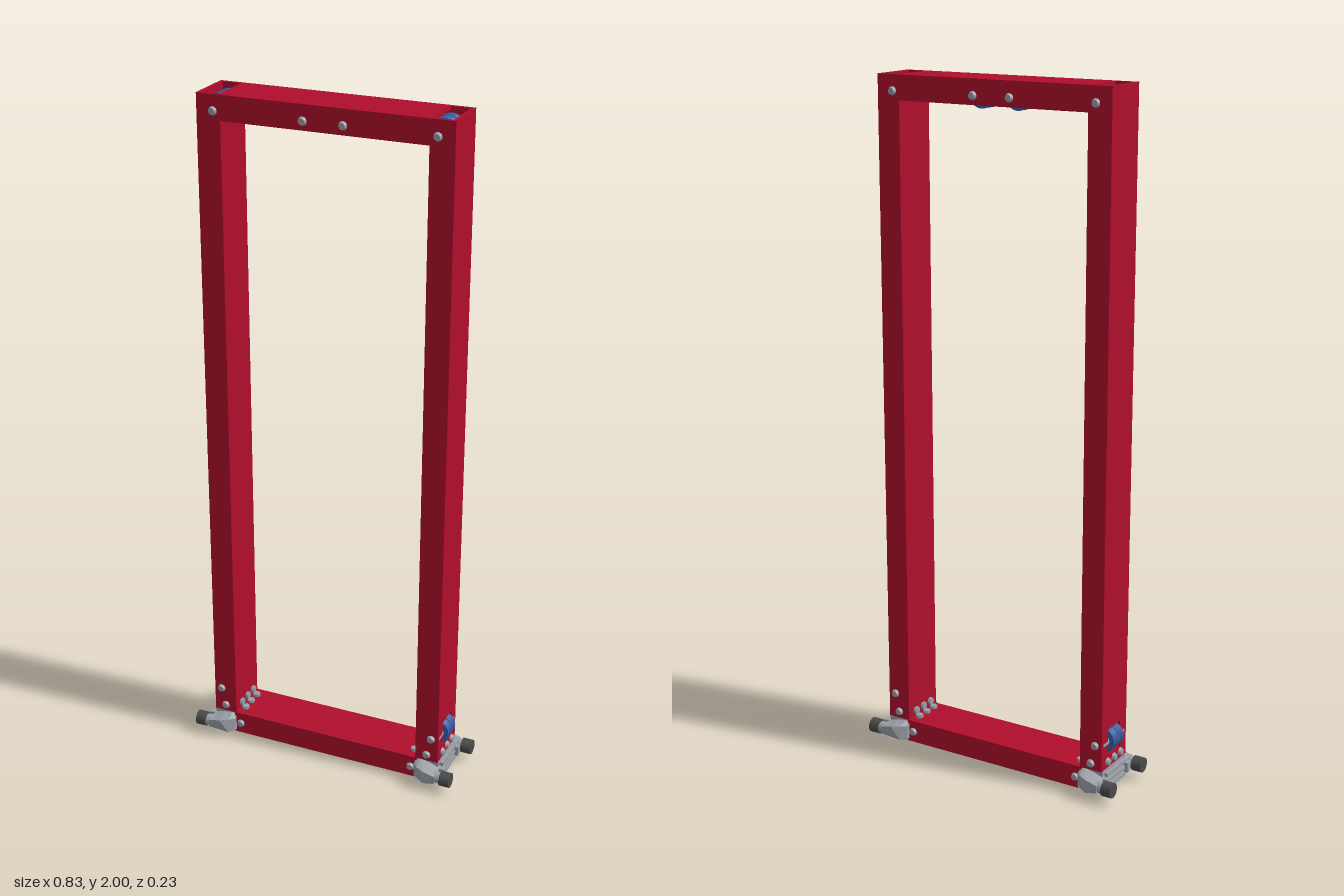
import * as THREE from 'three';

const mat = (name, color, side = THREE.FrontSide) => {
  const m = new THREE.MeshStandardMaterial({ color, side });
  m.name = name;
  return m;
};

export function createModel() {
  const red = mat('red paint', 0xb00e2c);
  const steel = mat('light steel', 0x9a9fa6);
  const blue = mat('blue pulley', 0x3a5fa8);
  const rubber = mat('dark rubber', 0x4a4a4a);
  const model = new THREE.Group();
  const D = 0.073, W = 0.01; // half depth of the beams, wall thickness

  const add = (parent, name, geo, material, x = 0, y = 0, z = 0) => {
    const m = new THREE.Mesh(geo, material);
    m.name = name;
    m.position.set(x, y, z);
    parent.add(m);
    return m;
  };
  // box given by its limits
  const box = (parent, name, material, x0, x1, y0, y1, z0, z1) =>
    add(parent, name, new THREE.BoxGeometry(x1 - x0, y1 - y0, z1 - z0), material,
      (x0 + x1) / 2, (y0 + y1) / 2, (z0 + z1) / 2);
  // cylinder whose axis runs along x, y or z
  const rod = (parent, name, material, r, len, axis, x, y, z, sides = 20, r2 = r) => {
    const g = new THREE.CylinderGeometry(r2, r, len, sides);
    if (axis === 'x') g.rotateZ(-Math.PI / 2);
    if (axis === 'z') g.rotateX(Math.PI / 2);
    return add(parent, name, g, material, x, y, z);
  };
  // flat wall along u with rectangular slots, thickness W
  const slottedWall = (u0, u1, slots) => {
    const s = new THREE.Shape([[u0, -D], [u1, -D], [u1, D], [u0, D]].map(p => new THREE.Vector2(...p)));
    for (const [a, b, h] of slots)
      s.holes.push(new THREE.Path([[a, -h], [a, h], [b, h], [b, -h]].map(p => new THREE.Vector2(...p))));
    return new THREE.ExtrudeGeometry(s, { depth: W, bevelEnabled: false });
  };
  // bolt through the beam with a domed head on the front and back
  const bolts = (parent, x, y) => {
    for (const s of [-1, 1]) {
      const b = rod(parent, 'boltHead', steel, 0.013, 0.009, 'z', x, y, s * (D + 0.0035), 16, 0.009);
      if (s < 0) b.rotation.y = Math.PI;
    }
  };
  // double sheave with spacers on its axle
  const sheaveProfile = [[0.006, -0.029], [0.038, -0.029], [0.038, -0.022], [0.031, -0.015],
    [0.038, -0.007], [0.038, -0.002], [0.033, 0], [0.038, 0.002], [0.038, 0.007],
    [0.031, 0.015], [0.038, 0.022], [0.038, 0.029], [0.006, 0.029]].map(p => new THREE.Vector2(...p));
  const pulley = (parent, x, y) => {
    const g = new THREE.Group();
    g.name = 'pulley';
    g.position.set(x, y, 0);
    parent.add(g);
    const geo = new THREE.LatheGeometry(sheaveProfile, 32).toNonIndexed();
    geo.computeVertexNormals();
    geo.rotateX(Math.PI / 2);
    add(g, 'sheave', geo, blue);
    for (const s of [-1, 1]) rod(g, 'spacer', steel, 0.024, 0.034, 'z', 0, 0, s * 0.046, 8);
    bolts(g, 0, 0);
  };

  // top beam: hollow, with slots for the pulleys underneath
  const top = new THREE.Group();
  top.name = 'topBeam';
  model.add(top);
  box(top, 'topWall', red, -0.3, 0.3, 2 - W, 2, -D, D);
  const under = add(top, 'bottomWall',
    slottedWall(-0.3, 0.3, [[-0.1, -0.015, 0.034], [0.015, 0.1, 0.034]]), red, 0, 1.93 + W, 0);
  under.rotation.x = Math.PI / 2;
  for (const s of [-1, 1])
    box(top, 'sideWall', red, -0.3, 0.3, 1.93, 2, s * (D - W / 2) - W / 2, s * (D - W / 2) + W / 2);
  for (const x of [-0.057, 0.057]) pulley(top, x, 1.955);

  // bottom beam
  box(model, 'bottomBeam', red, -0.3, 0.3, 0.012, 0.08, -D, D);

  // arm reaching from the bracket to the roller, tapered in plan
  const armGeometry = () => {
    const outline = [[0.295, 0.018], [0.31, 0.014], [0.335, 0.018], [0.37, 0.028],
      [0.37, 0.062], [0.335, 0.074], [0.31, 0.079], [0.295, 0.075]];
    const s = new THREE.Shape(outline.map(p => new THREE.Vector2(...p)));
    const g = new THREE.ExtrudeGeometry(s, { depth: 1, bevelEnabled: false });
    const p = g.attributes.position;
    for (let i = 0; i < p.count; i++) {
      const x = p.getX(i), y = p.getY(i);
      const reach = x < 0.3 ? 0.085 : x < 0.32 ? 0.102 : 0.113;
      if (p.getZ(i) > 0.5) {
        p.setZ(i, reach);
        p.setY(i, 0.045 + (y - 0.045) * 0.7);
      } else p.setZ(i, 0.06);
    }
    g.computeVertexNormals();
    return g;
  };

  // one side, built at +x and turned half round for the other
  for (const turn of [0, Math.PI]) {
    const side = new THREE.Group();
    side.name = turn ? 'rightSide' : 'leftSide';
    side.rotation.y = turn;
    model.add(side);

    // post: hollow, open at the top, with a pulley slot on the outside
    const post = new THREE.Group();
    post.name = 'post';
    side.add(post);
    for (const s of [-1, 1])
      box(post, 'postFace', red, 0.295, 0.365, 0.08, 2, s * (D - W / 2) - W / 2, s * (D - W / 2) + W / 2);
    box(post, 'innerWall', red, 0.295, 0.295 + W, 0.08, 1.93, -D, D);
    const outer = add(post, 'outerWall', slottedWall(0.08, 2, [[0.117, 0.198, 0.036]]), red, 0.365 - W, 0, 0);
    // slot outline: u to y, v to z, thickness to x
    outer.geometry.applyMatrix4(new THREE.Matrix4().makeBasis(
      new THREE.Vector3(0, 1, 0), new THREE.Vector3(0, 0, 1), new THREE.Vector3(1, 0, 0)));
    pulley(post, 0.343, 0.157);
    pulley(post, 0.317, 1.955);
    bolts(post, 0.33, 0.1);
    bolts(side, 0.28, 0.045);

    // rows of bolts joining the post, bracket and beam
    for (const z of [-0.038, 0, 0.038]) {
      rod(side, 'outerBolt', steel, 0.012, 0.009, 'x', 0.369, 0.1, z, 16, 0.009);
      rod(side, 'innerNut', steel, 0.012, 0.01, 'x', 0.291, 0.1, z, 6);
      rod(side, 'upperNut', steel, 0.012, 0.01, 'y', 0.28, 0.084, z, 6);
      rod(side, 'lowerBolt', steel, 0.009, 0.012, 'y', 0.28, 0.006, z, 16, 0.012);
    }

    // corner bracket with ribs and lugs
    const bracket = new THREE.Group();
    bracket.name = 'cornerBracket';
    side.add(bracket);
    box(bracket, 'core', steel, 0.3, 0.366, 0.013, 0.08, -0.068, 0.068);
    for (const y of [0.025, 0.045, 0.065])
      box(bracket, 'rib', steel, 0.366, 0.376, y - 0.006, y + 0.006, -0.055, 0.055);
    for (const s of [-1, 1]) {
      box(bracket, 'lug', steel, 0.36, 0.384, 0.03, 0.06, s * 0.062 - 0.01, s * 0.062 + 0.01);
      const arm = add(bracket, 'arm', armGeometry(), steel);
      if (s < 0) { // half turn about x keeps the faces outward
        arm.rotation.x = Math.PI;
        arm.position.y = 0.09;
      }
      rod(bracket, 'rollerCollar', steel, 0.017, 0.03, 'x', 0.373, 0.045, s * 0.093, 20);
      rod(bracket, 'roller', rubber, 0.022, 0.031, 'x', 0.3995, 0.045, s * 0.093, 24);
    }
  }
  return model;
}
